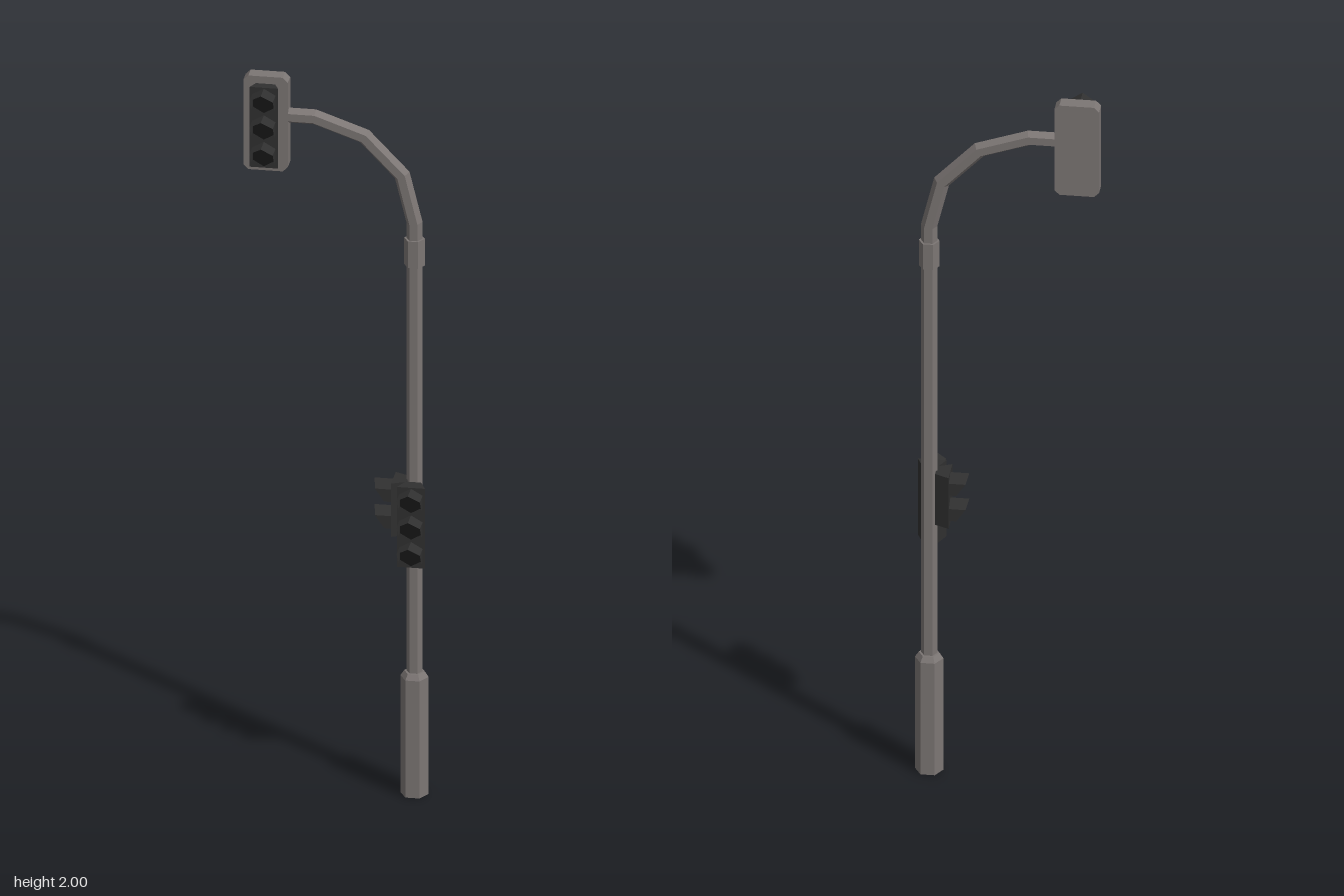
import * as THREE from 'three';

const AX = 0.202, AZ = -0.035; // pole axis
const mat = (color) => new THREE.MeshStandardMaterial({ color, flatShading: true, side: THREE.DoubleSide });
const metal = mat(0x7c7674), dark = mat(0x303030), lensMat = mat(0x161616);

function mesh(name, geometry, material) {
  const m = new THREE.Mesh(geometry, material);
  m.name = name;
  return m;
}

// hexagonal post section with corners on the x axis
function post(name, rTop, rBottom, y0, y1) {
  const m = mesh(name, new THREE.CylinderGeometry(rTop, rBottom, y1 - y0, 6, 1, false, Math.PI / 6), metal);
  m.position.set(AX, (y0 + y1) / 2, AZ);
  return m;
}

// joins rows of points (equal length) into a quad surface
function loft(rows) {
  const n = rows[0].length, index = [];
  for (let i = 0; i < rows.length - 1; i++)
    for (let j = 0; j < n - 1; j++) {
      const a = i * n + j, b = a + n;
      index.push(a, a + 1, b, b, a + 1, b + 1);
    }
  const g = new THREE.BufferGeometry();
  g.setAttribute('position', new THREE.Float32BufferAttribute(rows.flat(2), 3));
  g.setIndex(index);
  g.computeVertexNormals();
  return g;
}

// hexagonal tube along a bent path in the xy plane, mitred at each bend
function bentTube(path, r) {
  const pts = path.map(([x, y]) => new THREE.Vector2(x, y));
  const dir = (i) => pts[i + 1].clone().sub(pts[i]).normalize();
  const rows = pts.map((p, i) => {
    const a = dir(Math.max(i - 1, 0)), b = dir(Math.min(i, pts.length - 2));
    const t = a.clone().add(b).normalize();
    const miter = r / t.dot(a);
    return Array.from({ length: 7 }, (_, k) => {
      const c = Math.cos(k * Math.PI / 3) * miter;
      return [p.x + t.y * c, p.y - t.x * c, AZ + Math.sin(k * Math.PI / 3) * r];
    });
  });
  return loft(rows);
}

// signal head facing +z; top at y = 0, z measured from the pole axis
function signal(name, lamps) {
  const g = new THREE.Group();
  g.name = name;
  const h = lamps * 0.075, face = 0.055, R = 0.035;
  const s = new THREE.Shape([[-0.02, -0.018], [0.02, -0.018], [0.037, -face], [-0.037, -face]]
    .map(([x, y]) => new THREE.Vector2(x, y)));
  const body = mesh('signalBody', new THREE.ExtrudeGeometry(s, { depth: h, bevelEnabled: false }), dark);
  body.rotation.x = -Math.PI / 2;
  body.position.y = -h;
  g.add(body);
  // visor: five corners of a hexagon, open below, mouth cut on a slant
  const reach = [0.019, 0.043, 0.049, 0.043, 0.019];
  const edge = (depth) => reach.map((d, k) => {
    const a = (k * 60 - 30) * Math.PI / 180;
    return [Math.cos(a) * R, Math.sin(a) * R, face + d * depth];
  });
  const visorGeo = loft([edge(0), edge(1)]);
  const lensGeo = new THREE.CircleGeometry(0.033, 6, Math.PI / 6);
  for (let i = 0; i < lamps; i++) {
    const y = -0.0375 - i * 0.075;
    const visor = mesh('visor', visorGeo, dark);
    visor.position.y = y;
    const lens = mesh('lens', lensGeo, lensMat);
    lens.position.set(0, y, face + 0.001);
    g.add(visor, lens);
  }
  return g;
}

export function createModel() {
  const model = new THREE.Group();
  model.name = 'trafficLight';

  // pole
  model.add(
    post('base', 0.037, 0.037, 0, 0.33),
    post('baseShoulder', 0.027, 0.037, 0.33, 0.345),
    post('pole', 0.021, 0.021, 0.34, 1.5),
    post('collar', 0.027, 0.027, 1.49, 1.565)
  );

  // curved arm
  const path = [[AX, 1.55], [AX, 1.61], [0.17, 1.741], [0.072, 1.843], [-0.058, 1.888], [-0.14, 1.888]];
  model.add(mesh('arm', bentTube(path, 0.021), metal));

  // upper backing box with clipped corners
  const w = 0.058, h = 0.132, c = 0.013;
  const outline = new THREE.Shape([
    [w - c, -h], [w, c - h], [w, h - c], [w - c, h], [c - w, h], [-w, h - c], [-w, c - h], [c - w, -h]
  ].map(([x, y]) => new THREE.Vector2(x, y)));
  const box = mesh('backingBox', new THREE.ExtrudeGeometry(outline, { depth: 0.038, bevelEnabled: false }), metal);
  box.position.set(-0.183, 2 - h, -0.054);
  model.add(box);

  // signal heads
  const upper = signal('upperSignal', 3);
  upper.position.set(-0.183, 1.98, AZ - 0.01);
  const front = signal('frontSignal', 3);
  front.position.set(AX, 0.885, AZ);
  const side = signal('sideSignal', 2);
  side.position.set(AX, 0.885, AZ);
  side.rotation.y = -Math.PI / 2;
  model.add(upper, front, side);

  return model;
}
